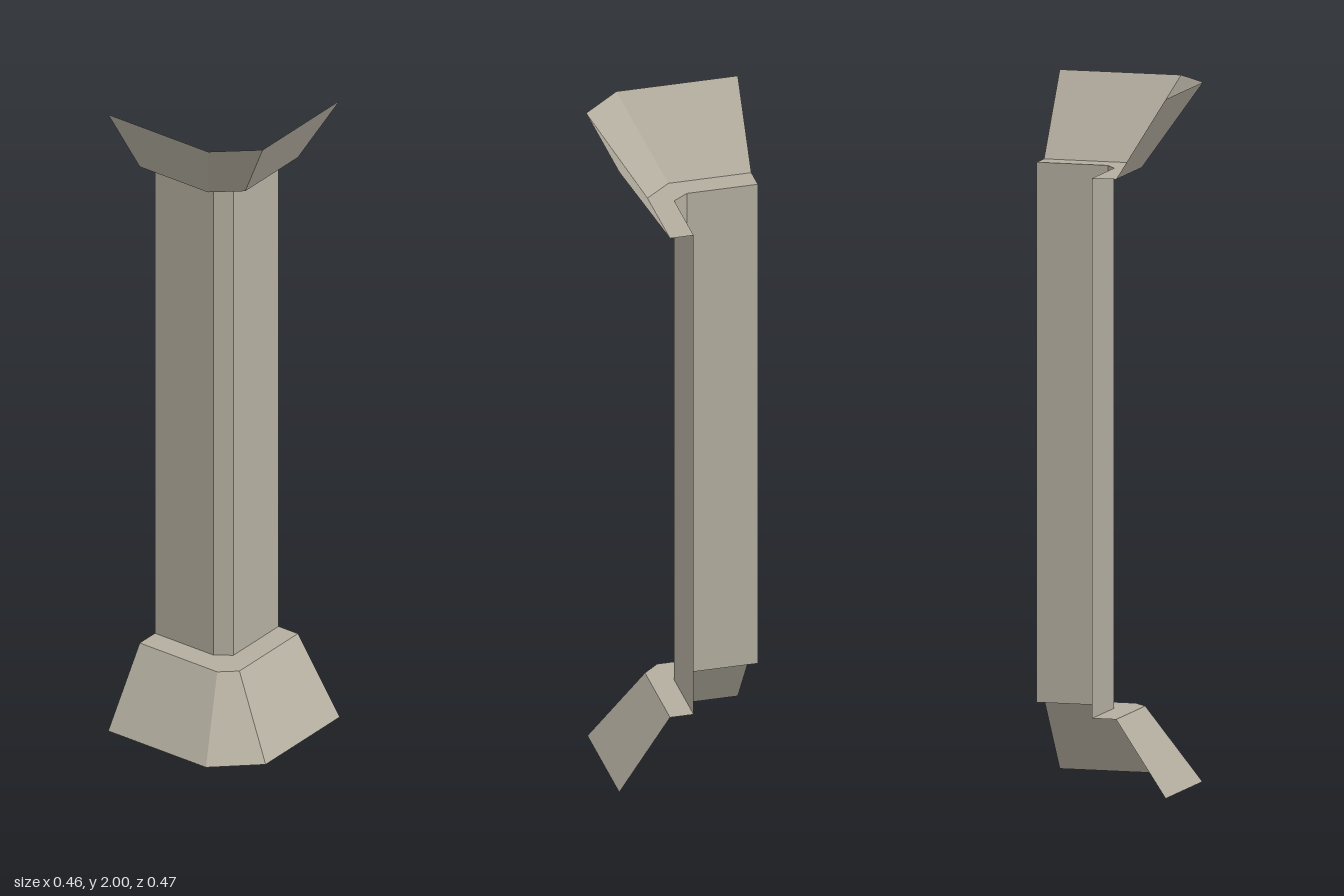
import * as THREE from 'three';

// Open sheet between two corner outlines, each a list of [x, z] points at a height
function strip(name, lower, yLow, upper, yHigh, material) {
  const p = [];
  for (let i = 0; i < lower.length - 1; i++) {
    const a = [lower[i][0], yLow, lower[i][1]];
    const b = [lower[i + 1][0], yLow, lower[i + 1][1]];
    const c = [upper[i + 1][0], yHigh, upper[i + 1][1]];
    const d = [upper[i][0], yHigh, upper[i][1]];
    p.push(...a, ...b, ...c, ...a, ...c, ...d);
  }
  const g = new THREE.BufferGeometry();
  g.setAttribute('position', new THREE.Float32BufferAttribute(p, 3));
  g.computeVertexNormals();
  const mesh = new THREE.Mesh(g, material);
  mesh.name = name;
  return mesh;
}

// L-shaped outline with a chamfered corner: side arm, chamfer, front arm
const outline = (x, z, chamferZ, chamferX) =>
  [[x, -0.236], [x, chamferZ], [chamferX, z], [0.231, z]];

export function createModel() {
  const stone = new THREE.MeshStandardMaterial({ color: 0xb3ad9f, side: THREE.DoubleSide });
  stone.name = 'warm grey stone';

  const foot = outline(-0.231, 0.236, 0.112, -0.115);
  const footTop = outline(-0.084, 0.087, 0.04, -0.042);
  const shaft = outline(-0.013, 0.018, -0.028, 0.02);
  const crownLow = outline(-0.084, 0.087, 0.007, -0.015);
  const crown = outline(-0.231, 0.236, 0.12, -0.129);

  const group = new THREE.Group();
  group.name = 'cornerPillar';
  group.add(
    strip('baseFlare', foot, 0, footTop, 0.22, stone),
    strip('baseLedge', footTop, 0.22, shaft, 0.22, stone),
    strip('cornerShaft', shaft, 0.22, shaft, 1.765, stone),
    strip('crownLedge', shaft, 1.765, crownLow, 1.765, stone),
    strip('crownFlare', crownLow, 1.765, crown, 2, stone),
  );
  return group;
}
